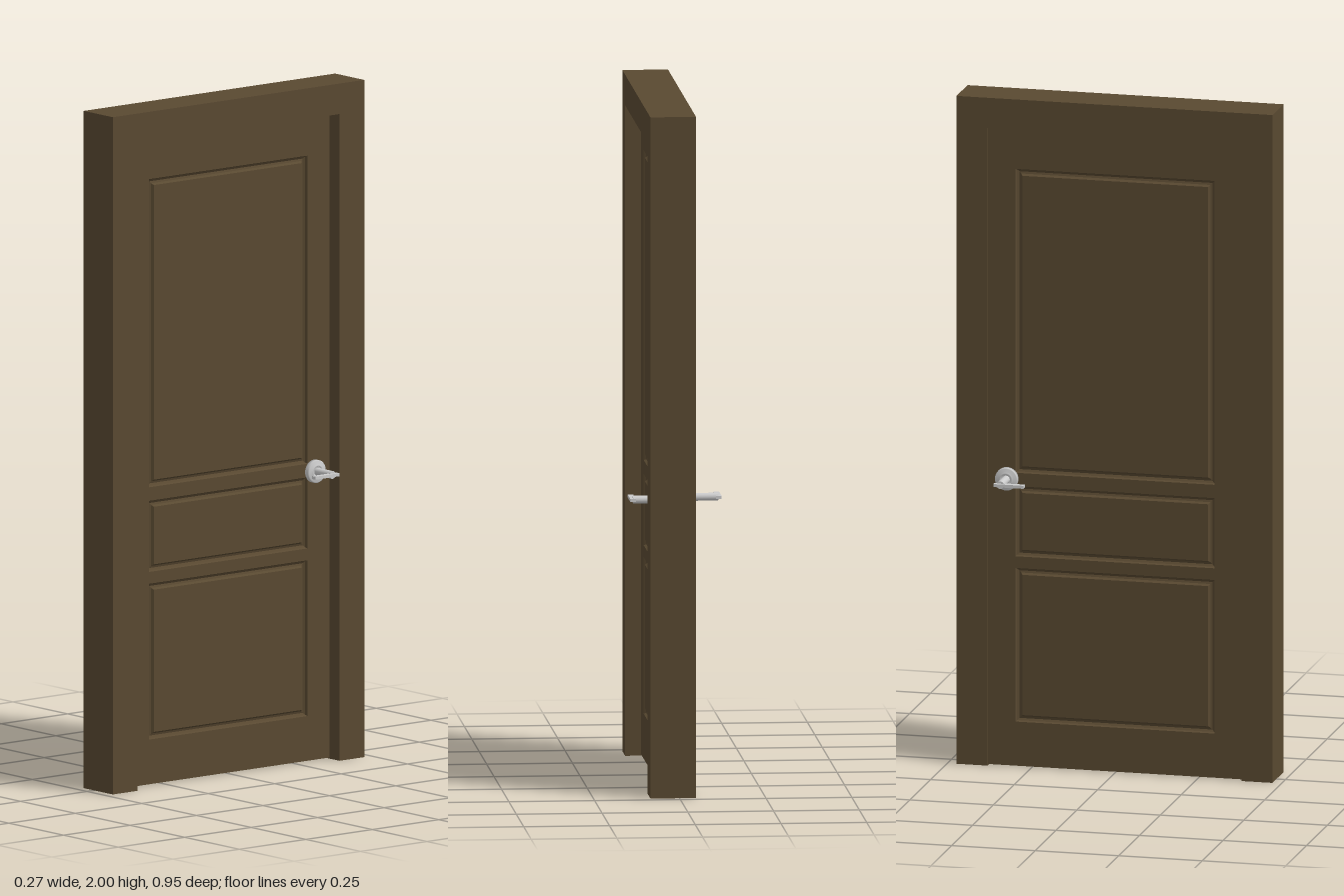
import * as THREE from 'three';

const wood = new THREE.MeshStandardMaterial({ color: 0x594931 });
const metal = new THREE.MeshStandardMaterial({ color: 0xcccccc });

const FRAME_BACK = -0.048, FRAME_FRONT = 0.085;
const DOOR_BACK = -0.04, DOOR_FRONT = 0.038;
const HALF = 0.473, INNER = 0.38, INNER_TOP = 1.91;
// Panel openings: [bottom, top]
const PANELS = [[0.135, 0.595], [0.63, 0.84], [0.88, 1.79]];
const PANEL_HALF = 0.298;
// Panel moulding: [inset from the edge, height relative to the door face]
const MOULDING = [[0, 0], [0.003, -0.007], [0.009, -0.011], [0.015, -0.009], [0.02, -0.002]];

function addMesh(parent, name, geometry, material) {
  const mesh = new THREE.Mesh(geometry, material);
  mesh.name = name;
  parent.add(mesh);
  return mesh;
}

// Extrude a shape drawn in (-z, y) between two x positions
function extrudeAlongX(shape, x0, x1) {
  const geometry = new THREE.ExtrudeGeometry(shape, { depth: x1 - x0, bevelEnabled: false });
  return geometry.rotateY(Math.PI / 2).translate(x0, 0, 0);
}

function rectPoints(halfWidth, bottom, top) {
  return [[-halfWidth, bottom], [halfWidth, bottom], [halfWidth, top], [-halfWidth, top]]
    .map(([u, v]) => new THREE.Vector2(u, v));
}

// Sunken moulding around a panel, closed by its flat field, facing +z
function panelGeometry(halfWidth, bottom, top) {
  const rings = MOULDING.map(([inset, h]) =>
    rectPoints(halfWidth - inset, bottom + inset, top - inset).map(p => [p.x, p.y, h]));
  const positions = [];
  const quad = (a, b, c, d) => positions.push(...a, ...b, ...c, ...a, ...c, ...d);
  for (let i = 0; i < rings.length - 1; i++) {
    for (let k = 0; k < 4; k++) {
      const n = (k + 1) % 4;
      quad(rings[i][k], rings[i][n], rings[i + 1][n], rings[i + 1][k]);
    }
  }
  quad(...rings[rings.length - 1]);
  const geometry = new THREE.BufferGeometry();
  geometry.setAttribute('position', new THREE.Float32BufferAttribute(positions, 3));
  geometry.computeVertexNormals();
  return geometry;
}

// Handle pointing along +x from the door face; the lever runs toward +z * side
function makeHandle(name, side) {
  const handle = new THREE.Group();
  handle.name = name;
  // Rosette with a raised collar
  const profile = [[0, 0], [0.034, 0], [0.034, 0.012], [0.031, 0.015], [0.022, 0.015],
    [0.02, 0.018], [0.015, 0.018], [0.015, 0.015], [0, 0.015]].map(p => new THREE.Vector2(...p));
  const rosette = new THREE.LatheGeometry(profile, 32).rotateZ(-Math.PI / 2);
  addMesh(handle, 'rosette', rosette, metal);
  // Neck
  const neck = new THREE.CylinderGeometry(0.0115, 0.0115, 0.085, 24).rotateZ(-Math.PI / 2);
  addMesh(handle, 'neck', neck, metal).position.x = 0.0425;
  // Flat lever
  const lever = new THREE.BoxGeometry(0.016, 0.009, 0.09);
  addMesh(handle, 'lever', lever, metal).position.set(0.086, 0, side * 0.027);
  return handle;
}

export function createModel() {
  const model = new THREE.Group();
  model.name = 'door';

  // Surrounding frame: two jambs and a lintel
  const frameShape = new THREE.Shape([
    [-HALF, 0], [-INNER, 0], [-INNER, INNER_TOP], [INNER, INNER_TOP],
    [INNER, 0], [HALF, 0], [HALF, 2], [-HALF, 2],
  ].map(p => new THREE.Vector2(...p)));
  addMesh(model, 'doorFrame', extrudeAlongX(frameShape, FRAME_BACK, FRAME_FRONT), wood);

  // Door leaf with three openings
  const leafShape = new THREE.Shape(rectPoints(INNER, 0.003, INNER_TOP));
  for (const [bottom, top] of PANELS) {
    leafShape.holes.push(new THREE.Path(rectPoints(PANEL_HALF, bottom, top).reverse()));
  }
  addMesh(model, 'doorLeaf', extrudeAlongX(leafShape, DOOR_BACK, DOOR_FRONT), wood);

  // Moulded panels on both faces
  for (const [bottom, top] of PANELS) {
    for (const [x, turn] of [[DOOR_FRONT, 1], [DOOR_BACK, -1]]) {
      const panel = addMesh(model, 'panel', panelGeometry(PANEL_HALF, bottom, top), wood);
      panel.rotation.y = turn * Math.PI / 2;
      panel.position.x = x;
    }
  }

  // Lever handles on both faces, both levers pointing to the middle of the door
  const outer = makeHandle('outerHandle', 1);
  outer.position.set(DOOR_FRONT, 0.856, -0.323);
  const inner = makeHandle('innerHandle', -1);
  inner.rotation.y = Math.PI;
  inner.position.set(DOOR_BACK, 0.862, -0.323);
  model.add(outer, inner);

  return model;
}
